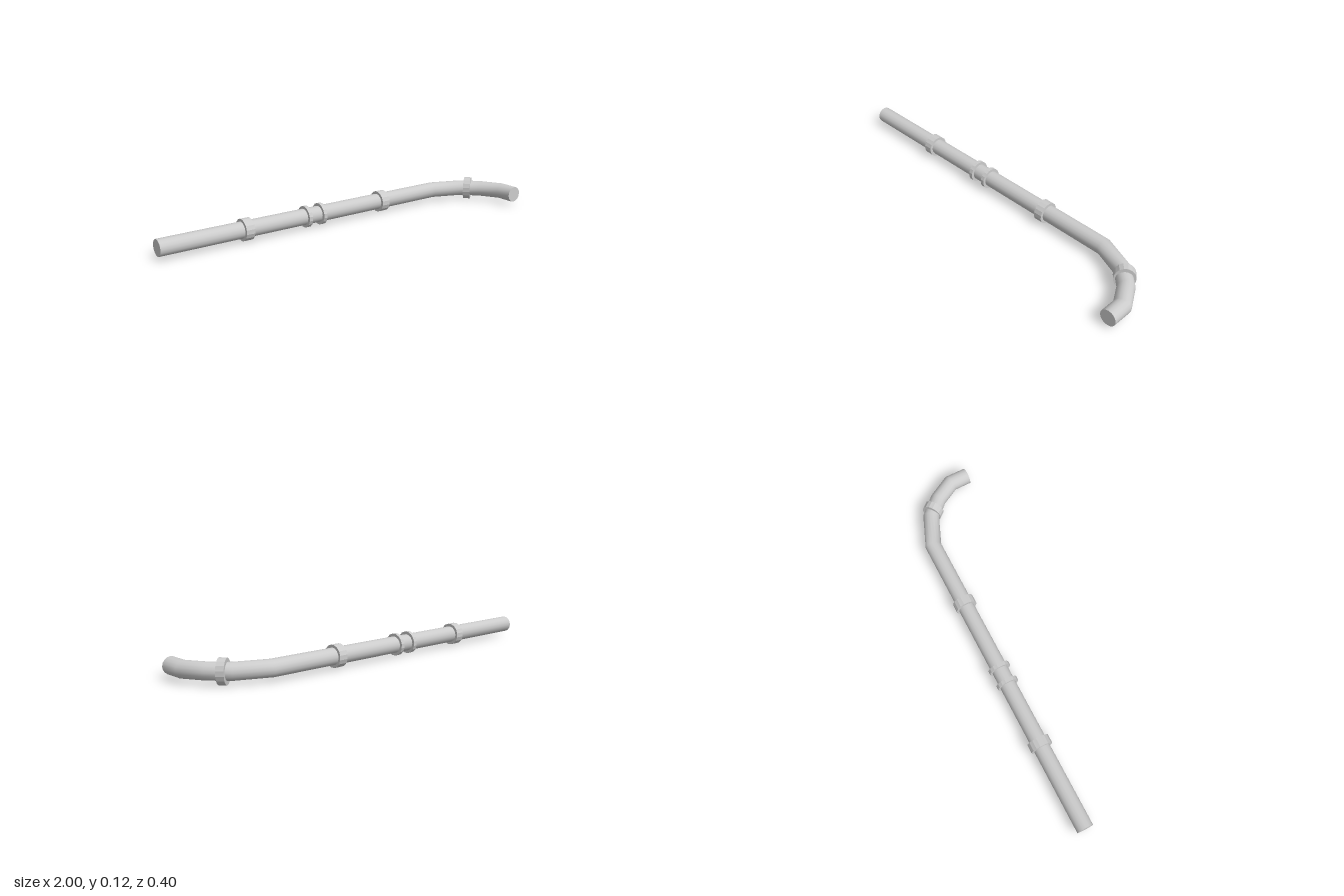
import * as THREE from 'three';

const SIDES = 16;
const PIPE_R = 0.042;
const PIPE_Y = 0.06;

// Sweep a round section along a polyline lying flat, with mitred joints
function sweepPipe(path, radius) {
  const pos = [], idx = [];
  const up = new THREE.Vector3(0, 1, 0);
  const dir = (i) => path[i + 1].clone().sub(path[i]).normalize();
  path.forEach((p, i) => {
    const d0 = dir(Math.max(i - 1, 0));
    const d1 = dir(Math.min(i, path.length - 2));
    const mid = d0.clone().add(d1).normalize();
    const side = mid.clone().cross(up).multiplyScalar(1 / mid.dot(d1));
    for (let j = 0; j < SIDES; j++) {
      const a = (j / SIDES) * Math.PI * 2;
      const v = p.clone()
        .addScaledVector(up, radius * Math.cos(a))
        .addScaledVector(side, radius * Math.sin(a));
      pos.push(v.x, v.y, v.z);
      if (i < path.length - 1) {
        const k = (j + 1) % SIDES, r = i * SIDES, n = r + SIDES;
        idx.push(r + j, r + k, n + j, r + k, n + k, n + j);
      }
    }
  });
  const geo = new THREE.BufferGeometry();
  geo.setAttribute('position', new THREE.Float32BufferAttribute(pos, 3));
  geo.setIndex(idx);
  geo.computeVertexNormals();
  return geo;
}

export function createModel() {
  const group = new THREE.Group();
  const smooth = new THREE.MeshStandardMaterial({ color: 0xcccccc });
  const faceted = new THREE.MeshStandardMaterial({ color: 0xcccccc, flatShading: true });

  const add = (name, geo, mat, x, z, turn = 0) => {
    const mesh = new THREE.Mesh(geo, mat);
    mesh.name = name;
    mesh.position.set(x, PIPE_Y, z);
    mesh.rotation.y = turn;
    group.add(mesh);
  };

  // Long straight run, then an elbow turning towards the front
  const path = [
    [-1, -0.147], [0.654, -0.147], [0.817, -0.083],
    [0.896, -0.004], [0.956, 0.1], [0.957, 0.2],
  ].map(([x, z]) => new THREE.Vector3(x, 0, z));
  add('pipe', sweepPipe(path, PIPE_R), smooth, 0, 0);

  // Closed ends
  const cap = new THREE.CircleGeometry(PIPE_R, SIDES);
  add('wallEndCap', cap, smooth, -1, -0.147, -Math.PI / 2);
  add('elbowEndCap', cap, smooth, 0.957, 0.2);

  // Collar ring with its axis along x, flat side uppermost
  const collar = (name, x, z, width, radius, depthScale = 1, turn = 0) => {
    const r = radius / Math.cos(Math.PI / SIDES);
    const geo = new THREE.CylinderGeometry(r, r, width, SIDES);
    geo.rotateY(Math.PI / SIDES).rotateZ(-Math.PI / 2).scale(1, 1, depthScale);
    add(name, geo, faceted, x, z, turn);
  };

  // Collars on the straight run: two wide, two thin
  [[-0.547, 0.046], [-0.202, 0.02], [-0.114, 0.02], [0.279, 0.046]].forEach(
    ([x, w], i) => collar('collar' + (i + 1), x, -0.146, w, 0.055)
  );

  // Taller oval collar on the elbow
  collar('elbowCollar', 0.847, -0.057, 0.038, 0.06, 0.86, -0.88);

  return group;
}
